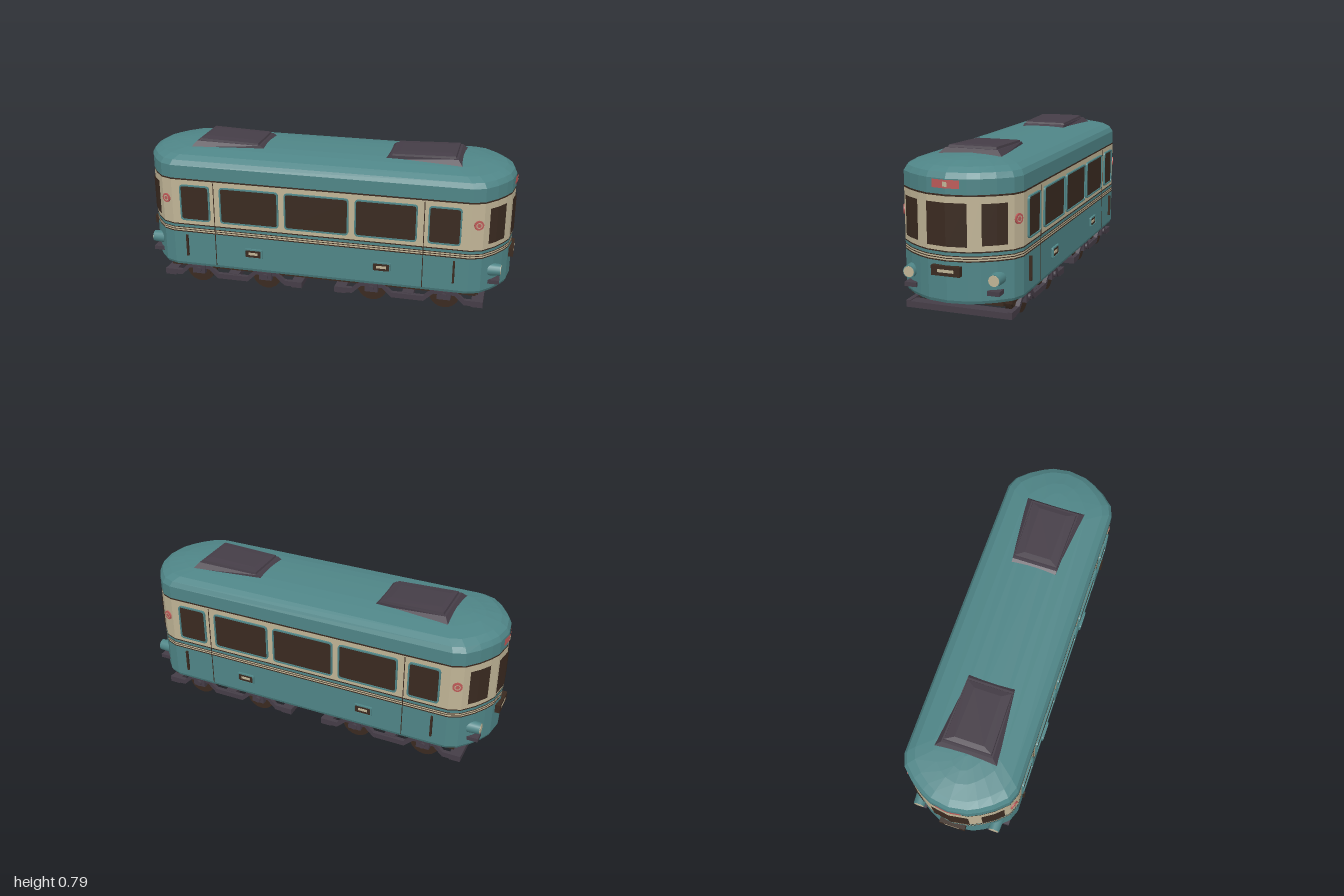
import * as THREE from 'three';

const mat = (name, color, side = THREE.FrontSide) => {
  const m = new THREE.MeshStandardMaterial({ color, side });
  m.name = name;
  return m;
};

export function createModel() {
  const teal = mat('teal paint', 0x4f8587);
  const cream = mat('cream paint', 0xc0b496);
  const dark = mat('dark brown', 0x3a2a20);
  const iron = mat('iron grey', 0x453d47);
  const red = mat('red paint', 0xbc5a58);
  const tram = new THREE.Group();
  tram.name = 'tram';

  const add = (parent, name, geo, material, x = 0, y = 0, z = 0) => {
    const m = new THREE.Mesh(geo, material);
    m.name = name;
    m.position.set(x, y, z);
    parent.add(m);
    return m;
  };
  // box given by its limits
  const box = (parent, name, material, x0, x1, y0, y1, z0, z1) =>
    add(parent, name, new THREE.BoxGeometry(x1 - x0, y1 - y0, z1 - z0), material,
      (x0 + x1) / 2, (y0 + y1) / 2, (z0 + z1) / 2);
  // flat-shaded geometry from a triangle soup
  const soup = (tris) => {
    const g = new THREE.BufferGeometry();
    g.setAttribute('position', new THREE.Float32BufferAttribute(tris.flat(2), 3));
    g.computeVertexNormals();
    return g;
  };
  const quad = (a, b, c, d) => [[a, b, c], [a, c, d]];

  // plan outline of the body: faceted round ends
  const half = [[0.79, 0.295], [0.85, 0.272], [0.905, 0.212], [0.945, 0.15], [0.97, 0.097], [0.985, 0]];
  const end = [...half, ...half.slice(0, -1).reverse().map(([x, z]) => [x, -z])];
  const outline = [...end, ...end.map(([x, z]) => [-x, -z])];
  const ring = (pts, y, d) => pts.map(([x, z]) => [x * (1 - d / 0.985), y, z * (1 - d / 0.295)]);
  const loft = (pts, levels, caps = true) => {
    const rings = levels.map(([y, d]) => ring(pts, y, d));
    const tris = [];
    const n = pts.length;
    for (let k = 0; k + 1 < rings.length; k++) {
      const p = rings[k], q = rings[k + 1];
      for (let i = 0; i < n; i++) {
        const j = (i + 1) % n;
        tris.push(...quad(p[i], p[j], q[j], q[i]));
      }
    }
    const bot = rings[0], top = rings[rings.length - 1];
    for (let i = 1; caps && i + 1 < n; i++) {
      tris.push([bot[0], bot[i + 1], bot[i]], [top[0], top[i], top[i + 1]]);
    }
    return soup(tris);
  };

  // body shell in painted bands
  add(tram, 'lowerBody', loft(outline, [[0.115, 0.006], [0.13, 0], [0.31, 0]]), teal);
  const bands = [
    ['stripe', dark, 0.31, 0.316], ['stripe', cream, 0.316, 0.323], ['stripe', dark, 0.323, 0.327],
    ['stripe', cream, 0.327, 0.334], ['stripe', dark, 0.334, 0.338], ['stripe', teal, 0.338, 0.352],
    ['stripe', dark, 0.352, 0.358], ['windowBand', cream, 0.358, 0.606], ['upperStripe', dark, 0.606, 0.614],
  ];
  for (const [name, m, y0, y1] of bands) add(tram, name, loft(outline, [[y0, 0], [y1, 0]], false), m);
  add(tram, 'roof', loft(outline, [[0.614, 0], [0.684, 0], [0.71, 0.014], [0.731, 0.048],
    [0.748, 0.125], [0.755, 0.19], [0.758, 0.26]]), teal);

  // rounded plate, optionally hollow
  const rounded = (P, w, h, r) => {
    const p = new P(), a = w / 2, b = h / 2;
    p.moveTo(-a + r, -b).lineTo(a - r, -b).quadraticCurveTo(a, -b, a, -b + r);
    p.lineTo(a, b - r).quadraticCurveTo(a, b, a - r, b);
    p.lineTo(-a + r, b).quadraticCurveTo(-a, b, -a, b - r);
    p.lineTo(-a, -b + r).quadraticCurveTo(-a, -b, -a + r, -b);
    return p;
  };
  const plate = (w, h, r, depth, rim = 0) => {
    const s = rounded(THREE.Shape, w, h, r);
    if (rim) s.holes.push(rounded(THREE.Path, w - 2 * rim, h - 2 * rim, r * 0.7));
    return new THREE.ExtrudeGeometry(s, { depth, bevelEnabled: false, curveSegments: 4 });
  };

  // side fittings, same on both sides
  const makeSide = () => {
    const g = new THREE.Group();
    g.name = 'sideFittings';
    const Z = 0.294;
    for (const [x, w] of [[-0.66, 0.165], [-0.362, 0.32], [0, 0.34], [0.362, 0.32], [0.66, 0.165]]) {
      add(g, 'windowPane', plate(w - 0.004, 0.196, 0.02, 0.005), dark, x, 0.481, Z);
      add(g, 'windowFrame', plate(w, 0.2, 0.02, 0.011, 0.007), teal, x, 0.481, Z);
    }
    for (const s of [-1, 1]) {
      box(g, 'doorHandle', dark, s * 0.715 - 0.005, s * 0.715 + 0.005, 0.175, 0.295, Z, 0.308);
      box(g, 'doorSeam', dark, s * 0.556 - 0.002, s * 0.556 + 0.002, 0.13, 0.6, Z, 0.2965);
      add(g, 'numberPlate', plate(0.095, 0.05, 0.008, 0.008), dark, s * 0.345, 0.22, Z);
      add(g, 'numberPlateRim', plate(0.1, 0.055, 0.01, 0.012, 0.007), teal, s * 0.345, 0.22, Z);
      box(g, 'numberPanel', cream, s * 0.345 - 0.025, s * 0.345 + 0.025, 0.213, 0.227, Z, 0.304);
    }
    return g;
  };

  // vertical strip following the round end between two z values
  const strip = (z0, z1, y0, y1, off) => {
    const xAt = (z) => {
      const a = Math.abs(z);
      const i = half.findIndex((p, k) => k > 0 && p[1] <= a);
      const [p, q] = [half[i - 1], half[i]];
      return q[0] + (p[0] - q[0]) * (a - q[1]) / (p[1] - q[1]);
    };
    const zs = [z1, ...end.map((p) => p[1]).filter((z) => z < z1 && z > z0), z0];
    const tris = [];
    for (let i = 0; i + 1 < zs.length; i++) {
      const [a, b] = [zs[i], zs[i + 1]];
      const P = (z, y) => [xAt(z) + off, y, z * (1 + off)];
      tris.push(...quad(P(a, y0), P(b, y0), P(b, y1), P(a, y1)));
    }
    return soup(tris);
  };

  // end fittings, same on both ends
  const makeEnd = () => {
    const g = new THREE.Group();
    g.name = 'endFittings';
    add(g, 'centreWindow', strip(-0.097, 0.097, 0.38, 0.578, 0.006), dark);
    add(g, 'destinationSign', strip(-0.066, 0.066, 0.642, 0.68, 0.006), red);
    add(g, 'signPanel', strip(-0.01, 0.01, 0.65, 0.672, 0.008), cream);
    box(g, 'endNumberPlate', dark, 0.965, 1, 0.246, 0.292, -0.07, 0.07);
    box(g, 'endNumberPanel', cream, 0.995, 1.001, 0.262, 0.276, -0.04, 0.04);
    for (const s of [-1, 1]) {
      const [a, b] = s > 0 ? [0.155, 0.25] : [-0.25, -0.155];
      add(g, 'cornerWindow', strip(a, b, 0.385, 0.575, 0.006), dark);
      const lamp = new THREE.CylinderGeometry(0.03, 0.034, 0.065, 16).rotateZ(-Math.PI / 2);
      add(g, 'headlight', lamp, teal, 0.912, 0.23, s * 0.21);
      const lens = new THREE.CylinderGeometry(0.026, 0.026, 0.008, 16).rotateZ(-Math.PI / 2);
      add(g, 'headlightLens', lens, cream, 0.943, 0.23, s * 0.21);
      box(g, 'bumperBlock', iron, 0.88, 0.942, 0.158, 0.179, s * 0.205 - 0.03, s * 0.205 + 0.03);
      // round badge lying on the first corner facet
      const badge = add(g, 'roundBadge', new THREE.CylinderGeometry(0.025, 0.025, 0.012, 16).rotateX(Math.PI / 2),
        red, 0.825, 0.494, s * 0.283);
      badge.rotation.y = s > 0 ? 0.365 : Math.PI - 0.365;
      const ringMesh = add(badge, 'badgeRing', new THREE.RingGeometry(0.012, 0.017, 16), cream, 0, 0, 0.0065);
      ringMesh.scale.setScalar(0.9);
    }
    return g;
  };

  // raised roof vent with flared base, at +x
  const makeVent = () => {
    const g = new THREE.Group();
    g.name = 'roofVent';
    const slab = (name, lo, hi) => {
      const c = ([x0, x1, z0, z1, y0, y1]) => [[x0, y0, z0], [x1, y1, z1], [x1, y1, -z1], [x0, y0, -z0]];
      const p = c(lo), q = c(hi), tris = [...quad(...q), ...quad(...p.slice().reverse())];
      for (let i = 0; i < 4; i++) {
        const j = (i + 1) % 4;
        tris.push(...quad(p[i], p[j], q[j], q[i]));
      }
      add(g, name, soup(tris), iron);
    };
    // limits: inner x, outer x, inner half width, outer half width, inner y, outer y
    slab('ventBase', [0.315, 0.72, 0.12, 0.163, 0.745, 0.745], [0.345, 0.695, 0.12, 0.132, 0.766, 0.775]);
    slab('ventLid', [0.355, 0.685, 0.118, 0.124, 0.762, 0.77], [0.36, 0.68, 0.115, 0.12, 0.776, 0.786]);
    slab('ventLidTop', [0.36, 0.68, 0.115, 0.12, 0.776, 0.786], [0.39, 0.655, 0.07, 0.075, 0.781, 0.791]);
    return g;
  };

  // bogie at +x: wavy side bars, wheels, axles and cross bars
  const makeBogie = () => {
    const g = new THREE.Group();
    g.name = 'bogie';
    const wave = [[-0.39, 0.05], [-0.295, 0.05], [-0.245, 0.098], [-0.135, 0.098], [-0.085, 0.05]];
    const path = [...wave, ...wave.slice().reverse().map(([x, y]) => [-x, y])];
    const outlinePts = [...path.map(([x, y]) => new THREE.Vector2(x, y - 0.014)),
      ...path.slice().reverse().map(([x, y]) => new THREE.Vector2(x, y + 0.014))];
    const bar = new THREE.ExtrudeGeometry(new THREE.Shape(outlinePts), { depth: 0.022, bevelEnabled: false });
    const disc = (r, w) => new THREE.CylinderGeometry(r, r, w, 20).rotateX(Math.PI / 2);
    for (const s of [-1, 1]) {
      add(g, 'sideBar', bar, iron, 0, 0, s * 0.257 - 0.011);
      const ax = s * 0.19;
      add(g, 'axle', disc(0.016, 0.5), dark, ax, 0.08, 0);
      for (const t of [-1, 1]) {
        add(g, 'wheelTread', disc(0.062, 0.06), dark, ax, 0.08, t * 0.218);
        add(g, 'wheelRim', disc(0.08, 0.022), dark, ax, 0.08, t * 0.194);
        add(g, 'wheelRim', disc(0.08, 0.02), dark, ax, 0.08, t * 0.234);
        box(g, 'axleBox', iron, ax - 0.035, ax + 0.035, 0.06, 0.105, t * 0.263 - 0.014, t * 0.263 + 0.014);
        add(g, 'axleCap', disc(0.016, 0.02), iron, ax, 0.082, t * 0.278);
      }
      box(g, 'endCrossBar', iron, s * 0.36 - 0.03, s * 0.36 + 0.03, 0.03, 0.06, -0.267, 0.267);
    }
    box(g, 'middleCrossBar', iron, -0.03, 0.03, 0.037, 0.066, -0.255, 0.255);
    g.position.x = 0.48;
    return g;
  };

  // underframe
  box(tram, 'underframe', dark, -0.84, 0.84, 0.078, 0.118, -0.215, 0.215);
  box(tram, 'equipmentBox', dark, -0.072, 0.072, 0.026, 0.1, -0.117, 0.117);
  for (const z of [-0.235, 0.235]) box(tram, 'sideSill', dark, -0.83, 0.83, 0.09, 0.118, z - 0.02, z + 0.02);

  // everything that repeats at the other end or side by a half turn
  for (const turn of [0, Math.PI]) {
    for (const g of [makeSide(), makeEnd(), makeVent(), makeBogie()]) {
      const pivot = new THREE.Group();
      pivot.name = g.name + (turn ? 'Rear' : 'Front');
      pivot.rotation.y = turn;
      pivot.add(g);
      tram.add(pivot);
    }
  }
  return tram;
}
